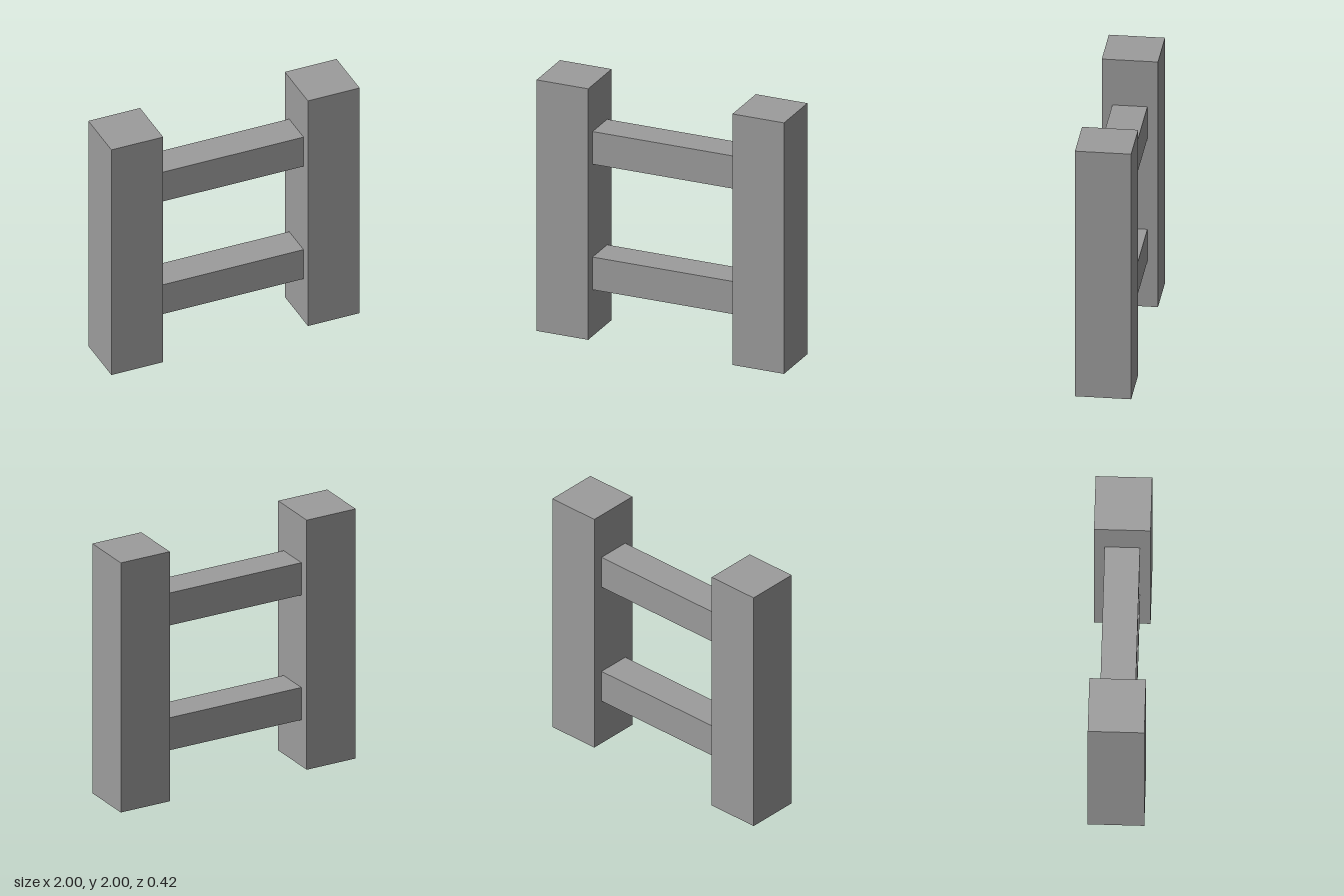
import * as THREE from 'three';

const POST = 0.417; // square post section
const RAIL = 0.26; // square rail section
const HEIGHT = 2;

export function createModel() {
  const model = new THREE.Group();
  model.name = 'fenceSection';
  const material = new THREE.MeshStandardMaterial({ color: 0x9c9c9c, flatShading: true });

  const addBox = (name, size, position) => {
    const mesh = new THREE.Mesh(new THREE.BoxGeometry(...size), material);
    mesh.name = name;
    mesh.position.set(...position);
    model.add(mesh);
  };

  // Upright posts at both ends
  const postX = 1 - POST / 2;
  addBox('leftPost', [POST, HEIGHT, POST], [postX, HEIGHT / 2, 0]);
  addBox('rightPost', [POST, HEIGHT, POST], [-postX, HEIGHT / 2, 0]);

  // Horizontal rails spanning between the posts' inner faces
  const span = 2 - 2 * POST;
  addBox('lowerRail', [span, RAIL, RAIL], [0, 0.5, 0]);
  addBox('upperRail', [span, RAIL, RAIL], [0, 1.5, 0]);

  return model;
}
